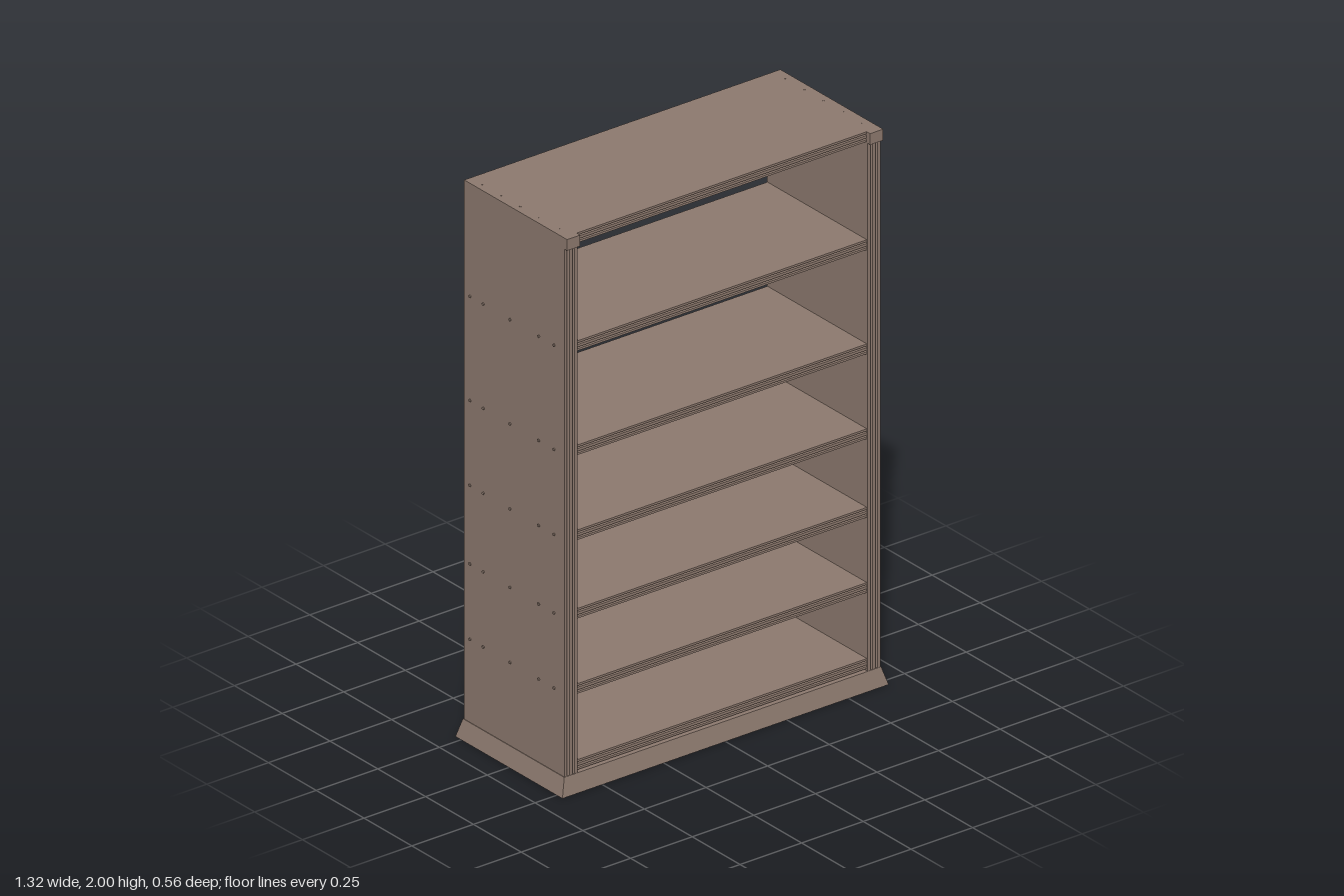
import * as THREE from 'three';

export function createModel() {
  const group = new THREE.Group();
  group.name = 'bookcase';
  const wood = new THREE.MeshStandardMaterial({ color: 0x8b786d });
  wood.name = 'brown wood';

  const add = (name, geometry, x = 0, y = 0, z = 0) => {
    const mesh = new THREE.Mesh(geometry, wood);
    mesh.name = name;
    mesh.position.set(x, y, z);
    group.add(mesh);
    return mesh;
  };

  // Board section: depth along the shape's x, thickness along y, two grooves in the front edge
  const reededBoard = (back, front, thickness, length) => {
    const t = thickness / 2, d = 0.006;
    const points = [[back, -t], [front, -t]];
    for (const c of [-0.42, 0.42]) {
      points.push([front, (c - 0.16) * t], [front - d, c * t], [front, (c + 0.16) * t]);
    }
    points.push([front, t], [back, t]);
    const shape = new THREE.Shape(points.map(p => new THREE.Vector2(...p)));
    const geometry = new THREE.ExtrudeGeometry(shape, { depth: length, bevelEnabled: false });
    return geometry.translate(0, 0, -length / 2);
  };

  // Flared plinth, wider at the floor
  const plinth = new THREE.BoxGeometry(1.324, 0.064, 0.56).toNonIndexed();
  const p = plinth.attributes.position;
  for (let i = 0; i < p.count; i++) {
    if (p.getY(i) > 0) p.setXYZ(i, Math.sign(p.getX(i)) * 0.643, p.getY(i), Math.sign(p.getZ(i)) * 0.265);
  }
  plinth.computeVertexNormals();
  add('plinth', plinth, 0, 0.032, 0);

  // Shelves and top board
  const shelfHeights = [0.09, 0.363, 0.633, 0.915, 1.22, 1.594];
  const shelf = reededBoard(-0.26, 0.26, 0.036, 1.19).rotateY(-Math.PI / 2);
  for (const y of shelfHeights) add('shelf', shelf, 0, y, 0);
  add('topBoard', shelf, 0, 1.982, 0);

  // Upright sides, capped at the front corners
  const side = reededBoard(-0.262, 0.264, 0.052, 1.9).rotateX(-Math.PI / 2).rotateY(-Math.PI / 2);
  const peg = new THREE.CylinderGeometry(0.005, 0.005, 0.006, 8).rotateZ(Math.PI / 2);
  const topPeg = new THREE.CylinderGeometry(0.004, 0.004, 0.004, 8);
  for (const s of [-1, 1]) {
    add(s > 0 ? 'leftSide' : 'rightSide', side, s * 0.615, 1.012, 0);
    add('topEnd', new THREE.BoxGeometry(0.053, 0.04, 0.538), s * 0.615, 1.98, 0.009);
    // Dowel ends outside each shelf
    for (const y of shelfHeights.slice(1)) {
      for (const z of [0.21, 0.13, -0.02, -0.16, -0.23]) add('dowel', peg, s * 0.642, y, z);
    }
    for (let i = 0; i < 5; i++) add('topDowel', topPeg, s * 0.615, 1.999, -0.2 + i * 0.1);
  }
  return group;
}
